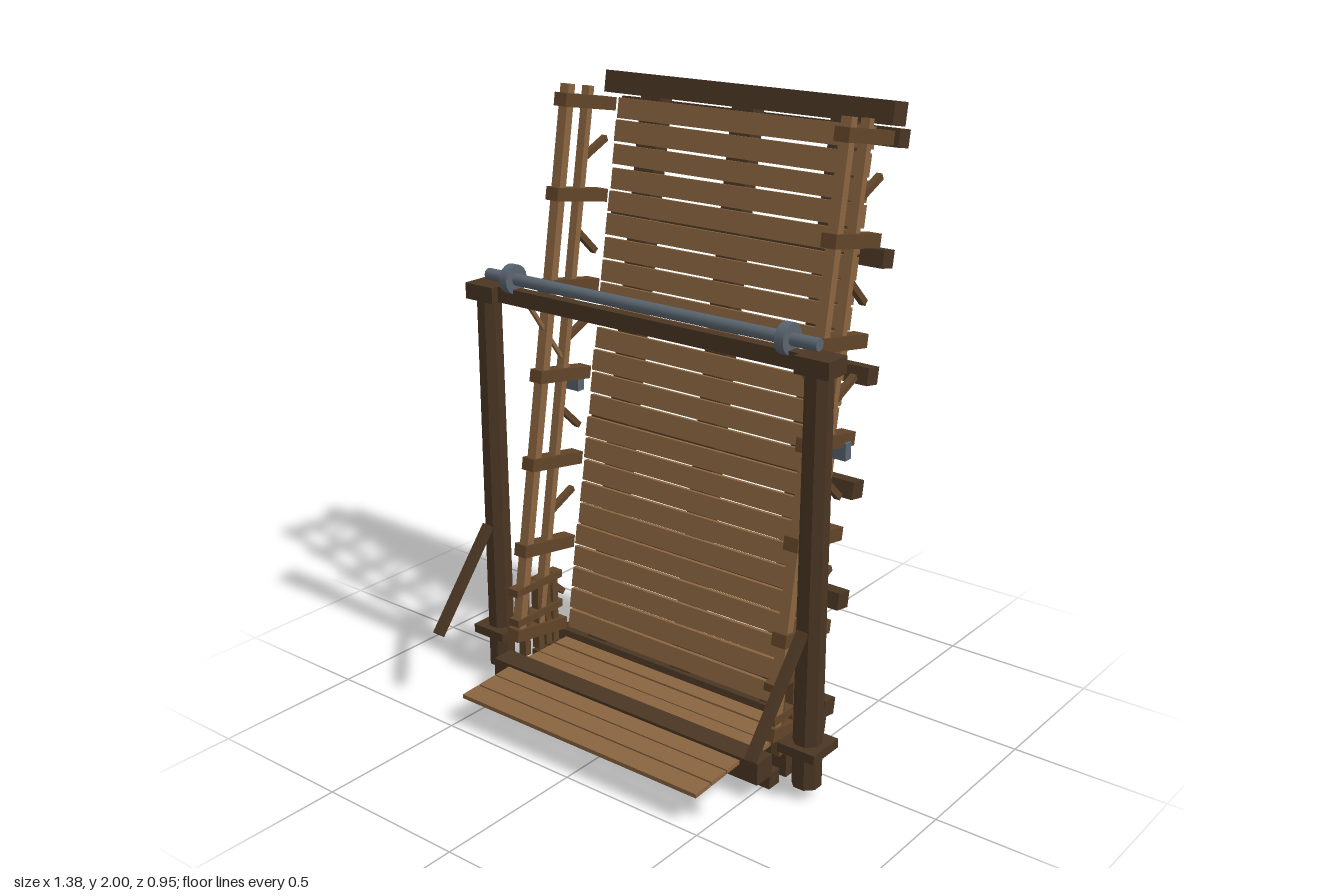
import * as THREE from 'three';

const mat = (name, color) => {
  const m = new THREE.MeshStandardMaterial({ color });
  m.name = name;
  return m;
};

export function createModel() {
  const darkWood = mat('dark wood', 0x4a3623);
  const midWood = mat('mid wood', 0x614529);
  const lightWood = mat('light wood', 0x8a6540);
  const steel = mat('steel', 0x5a6570);

  const model = new THREE.Group();
  model.name = 'drawbridge';

  let seed = 7;
  const rand = () => {
    seed = (seed * 16807) % 2147483647;
    return seed / 2147483647 - 0.5;
  };

  const add = (parent, name, geo, material, x, y, z) => {
    const m = new THREE.Mesh(geo, material);
    m.name = name;
    m.position.set(x, y, z);
    parent.add(m);
    return m;
  };
  const box = (parent, name, material, w, h, d, x, y, z) =>
    add(parent, name, new THREE.BoxGeometry(w, h, d), material, x, y, z);

  // Bar in a plane of constant x, between two (y, z) points
  const bar = (parent, name, material, t, x, y0, z0, y1, z1) => {
    const m = box(parent, name, material, t, Math.hypot(y1 - y0, z1 - z0), t, x, (y0 + y1) / 2, (z0 + z1) / 2);
    m.rotation.x = Math.atan2(z1 - z0, y1 - y0);
    return m;
  };

  // ---- Raised deck, leaning back ----
  const deck = new THREE.Group();
  deck.name = 'raisedDeck';
  deck.position.set(0, 0.07, -0.07);
  deck.rotation.x = -0.168;
  model.add(deck);

  box(deck, 'hingeBeam', darkWood, 1.07, 0.08, 0.08, 0, 0.02, 0);
  box(deck, 'topBeam', darkWood, 1.08, 0.07, 0.075, 0, 1.92, 0);
  for (const x of [-0.36, 0, 0.36])
    box(deck, 'stringer', darkWood, 0.08, 1.83, 0.06, x, 0.97, -0.01);
  for (let i = 0; i < 6; i++)
    box(deck, 'crossBeam', darkWood, 1.05, 0.055, 0.06, 0, 0.08 + 0.354 * i, -0.068);
  for (let i = 0; i < 24; i++) {
    const p = box(deck, 'deckPlank', lightWood, 0.955, 0.066 + rand() * 0.005, 0.018,
      rand() * 0.006, 0.105 + 0.0755 * i, 0.029 + rand() * 0.003);
    p.rotation.z = rand() * 0.009;
  }

  // Railings on both edges of the deck
  for (const s of [1, -1]) {
    const x = 0.52 * s;
    for (let i = 0; i < 7; i++)
      box(deck, 'railArm', midWood, 0.05, 0.042, 0.245, x, 0.08 + 0.295 * i, 0.1475);
    box(deck, 'outerRail', lightWood, 0.035, 1.83, 0.03, x, 0.985, 0.24);
    box(deck, 'innerRail', lightWood, 0.03, 1.83, 0.024, x, 0.985, 0.142);
    for (let i = 0; i < 6; i++) {
      const mid = 0.2275 + 0.295 * i, k = i % 2 ? 0.037 : -0.037;
      bar(deck, 'railBrace', midWood, 0.02, x, mid - k, 0.145, mid + k, 0.035);
    }
    box(model, 'ropeBracket', steel, 0.055, 0.055, 0.03, 0.525 * s, 1.0, -0.16);
    bar(model, 'hoistRope', lightWood, 0.012, x, 1.37, 0.1, 1.02, -0.15);
  }

  // ---- Gate frame with hoisting shaft ----
  for (const s of [1, -1]) {
    const x = 0.627 * s;
    const post = add(model, 'gatePost', new THREE.CylinderGeometry(0.042, 0.046, 1.31, 8).toNonIndexed(), darkWood, x, 0.695, 0.125);
    post.rotation.y = Math.PI / 8;
    post.geometry.computeVertexNormals();
    box(model, 'postCap', darkWood, 0.115, 0.052, 0.09, 0.628 * s, 1.355, 0.125);
    box(model, 'postCollar', darkWood, 0.13, 0.03, 0.13, x, 0.17, 0.125);
    bar(model, 'postStrut', darkWood, 0.028, x, 0.56, 0.17, 0.255, 0.418);
    const wheel = add(model, 'hoistWheel', new THREE.CylinderGeometry(0.047, 0.047, 0.03, 16), steel, 0.52 * s, 1.41, 0.125);
    wheel.rotation.z = Math.PI / 2;
  }
  box(model, 'gateLintel', darkWood, 1.16, 0.05, 0.036, 0, 1.355, 0.125);
  const shaft = add(model, 'hoistShaft', new THREE.CylinderGeometry(0.019, 0.019, 1.25, 10), steel, 0, 1.41, 0.125);
  shaft.rotation.z = Math.PI / 2;

  // ---- Fixed landing ----
  box(model, 'thresholdBeam', darkWood, 1.075, 0.072, 0.076, 0, 0.095, 0.217);
  box(model, 'frontSill', darkWood, 1.05, 0.05, 0.052, 0, 0.025, 0.146);
  box(model, 'middleSill', darkWood, 1.05, 0.1, 0.053, 0, 0.05, 0.058);
  box(model, 'rearSill', darkWood, 1.05, 0.1, 0.053, 0, 0.05, -0.009);
  for (const x of [-0.36, 0, 0.36])
    box(model, 'landingJoist', darkWood, 0.08, 0.045, 0.22, x, 0.075, 0.08);
  for (const [z, d] of [[-0.008, 0.056], [0.065, 0.072], [0.138, 0.064]])
    box(model, 'landingPlank', lightWood, 0.955, 0.016, d, 0, 0.107, z);
  [0.283, 0.358, 0.434].forEach((z, i) => {
    const p = box(model, 'apronPlank', lightWood, 0.945, 0.014, 0.07, 0, 0.113 - 0.004 * i, z);
    p.rotation.x = 0.05;
  });

  // Landing side fences
  for (const s of [1, -1]) {
    const x = 0.52 * s;
    for (const z of [0.125, 0.058, 0.02, -0.016])
      box(model, 'fencePicket', midWood, 0.03, 0.26, 0.025, x, 0.23, z);
    for (const y of [0.235, 0.345])
      box(model, 'fenceRail', midWood, 0.042, 0.026, 0.22, x, y, 0.065);
  }

  return model;
}
